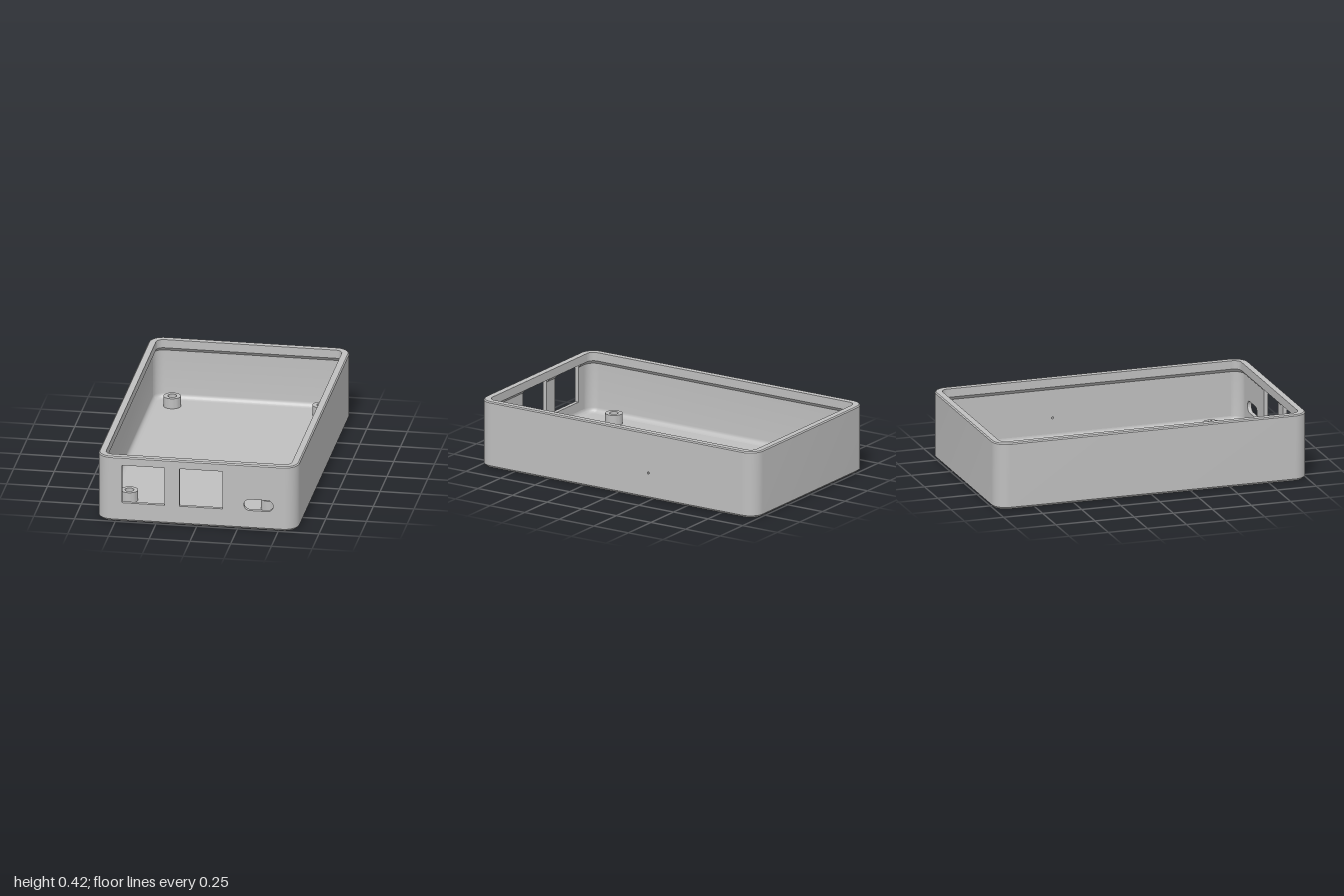
import * as THREE from 'three';
import { toCreasedNormals } from 'three/addons/utils/BufferGeometryUtils.js';

const HX = 0.615, HZ = 1, R = 0.09; // half sizes and corner radius
const CX = HX - R, CZ = HZ - R;
const WALL = 0.025, LIP = 0.045, FLOOR = 0.035, FILLET = 0.03;
const LIP_Y = 0.367, SLOPE_Y = 0.345, WALL_Y = FLOOR + FILLET;

// Wall profiles as [inset, height]: up the outside, over the rim, down the inside
const lower = [[0.015, 0], [0, 0.015], [0, WALL_Y]];
const rim = [[0, 0.413], [0.007, 0.42], [LIP, 0.42], [LIP, LIP_Y]];
const fillet = [];
for (let i = 0; i <= 5; i++) {
  const a = (i / 5) * Math.PI / 2;
  fillet.push([WALL + FILLET * (1 - Math.cos(a)), WALL_Y - FILLET * Math.sin(a)]);
}
const full = [[0.015, 0], [0, 0.015], ...rim, [WALL, SLOPE_Y], ...fillet];

// One rounded corner of the outline; quarter 0 is front left, going round to the back
function corner(quarter) {
  const cx = quarter < 2 ? CX : -CX;
  const cz = quarter === 0 || quarter === 3 ? CZ : -CZ;
  const pts = [];
  for (let i = 0; i <= 10; i++) {
    const a = (quarter + i / 10) * Math.PI / 2;
    pts.push({ cx, cz, nx: Math.sin(a), nz: Math.cos(a) });
  }
  return pts;
}

// Sweeps a profile along part of the outline
function sweep(profile, path) {
  const pos = [];
  const at = (p, [inset, y]) => [p.cx + p.nx * (R - inset), y, p.cz + p.nz * (R - inset)];
  for (let i = 0; i < path.length - 1; i++) {
    for (let j = 0; j < profile.length - 1; j++) {
      const a = at(path[i], profile[j]), b = at(path[i + 1], profile[j]);
      const c = at(path[i + 1], profile[j + 1]), d = at(path[i], profile[j + 1]);
      pos.push(...a, ...b, ...c, ...a, ...c, ...d);
    }
  }
  const g = new THREE.BufferGeometry();
  g.setAttribute('position', new THREE.Float32BufferAttribute(pos, 3));
  return toCreasedNormals(g, 0.6);
}

const frontRun = (x0, x1) => [x0, x1].map((cx) => ({ cx, cz: CZ, nx: 0, nz: 1 }));
const leftRun = [CZ, -CZ].map((cz) => ({ cx: CX, cz, nx: 1, nz: 0 }));

function circle(x, y, r) {
  return new THREE.Path().absarc(x, y, r, 0, Math.PI * 2, true);
}

function extrude(shape, depth) {
  const g = new THREE.ExtrudeGeometry(shape, { depth, bevelEnabled: false, curveSegments: 16 });
  return toCreasedNormals(g, 0.6);
}

// Horizontal plate with round holes given as [x, z]
function plate(y0, y1, holes, r) {
  const x = HX - 0.015, z = HZ - 0.015, c = R - 0.015;
  const s = new THREE.Shape();
  s.absarc(x - c, z - c, c, 0, Math.PI / 2);
  s.absarc(c - x, z - c, c, Math.PI / 2, Math.PI);
  s.absarc(c - x, c - z, c, Math.PI, Math.PI * 1.5);
  s.absarc(x - c, c - z, c, Math.PI * 1.5, Math.PI * 2);
  s.closePath();
  holes.forEach(([hx, hz]) => s.holes.push(circle(hx, -hz, r)));
  return extrude(s, y1 - y0).rotateX(-Math.PI / 2).translate(0, y0, 0);
}

export function createModel() {
  const group = new THREE.Group();
  const grey = new THREE.MeshStandardMaterial({ color: 0xbfbfbf });
  grey.name = 'plain grey';
  const add = (name, geometry) => {
    const m = new THREE.Mesh(geometry, grey);
    m.name = name;
    group.add(m);
    return m;
  };

  // Solid walls and corners
  add('frontLeftCorner', sweep(full, corner(0)));
  add('backAndRightWalls', sweep(full, [...corner(1), ...corner(2), ...corner(3)]));

  // Left wall with a pinhole
  add('leftWallBase', sweep(lower, leftRun));
  add('leftWallFillet', sweep(fillet, leftRun));
  add('leftWallRim', sweep([[0, SLOPE_Y], ...rim, [WALL, SLOPE_Y]], leftRun));
  const side = new THREE.Shape();
  side.moveTo(-CZ, WALL_Y);
  side.lineTo(CZ, WALL_Y);
  side.lineTo(CZ, SLOPE_Y);
  side.lineTo(-CZ, SLOPE_Y);
  side.closePath();
  side.holes.push(circle(0.23, 0.165, 0.007));
  add('leftWallPanel', extrude(side, WALL).rotateY(Math.PI / 2).translate(HX - WALL, 0, 0));

  // Front wall with two square ports and a rounded slot
  const front = frontRun(-CX, CX);
  add('frontWallBase', sweep(lower, front));
  add('frontWallFillet', sweep(fillet, front));
  add('frontWallRim', sweep([[0, LIP_Y], ...rim, [0, LIP_Y]], front));
  const ports = [[-0.46, -0.197], [-0.106, 0.158]], sill = 0.124;
  const face = new THREE.Shape();
  face.moveTo(-CX, WALL_Y);
  face.lineTo(CX, WALL_Y);
  face.lineTo(CX, LIP_Y);
  [...ports].reverse().forEach(([x0, x1]) => {
    face.lineTo(x1, LIP_Y);
    face.lineTo(x1, sill);
    face.lineTo(x0, sill);
    face.lineTo(x0, LIP_Y);
  });
  face.lineTo(-CX, LIP_Y);
  face.closePath();
  const slot = new THREE.Path();
  slot.absarc(0.325, 0.16, 0.036, Math.PI / 2, Math.PI * 1.5);
  slot.absarc(0.433, 0.16, 0.036, -Math.PI / 2, Math.PI / 2);
  slot.closePath();
  face.holes.push(slot);
  add('frontWallPanel', extrude(face, WALL).translate(0, 0, HZ - WALL));
  // Sloped underside of the lip beside the ports
  [[-CX, ports[0][0]], [ports[0][1], ports[1][0]], [ports[1][1], CX]].forEach(([x0, x1]) =>
    add('frontLipSlope', sweep([[LIP, LIP_Y], [WALL, SLOPE_Y]], frontRun(x0, x1))));

  // Floor with shallow round foot recesses underneath and screw holes
  const screws = [[-0.46, -0.85], [0.455, -0.85], [-0.46, 0.72], [0.4, 0.72]];
  const feet = [[-0.445, -0.795], [0.425, -0.795], [-0.45, 0.76], [0.41, 0.765]];
  add('floorUnderside', plate(0, 0.012, feet, 0.104));
  add('floor', plate(0.012, FLOOR, screws, 0.038));

  // Hollow screw posts, wider at the bottom for the screw heads
  const post = [[0.038, FLOOR], [0.038, 0.06], [0.027, 0.06], [0.027, 0.1], [0.053, 0.1], [0.053, FLOOR]]
    .reverse().map(([x, y]) => new THREE.Vector2(x, y));
  const postGeometry = toCreasedNormals(new THREE.LatheGeometry(post, 32), 0.6);
  screws.forEach(([x, z]) => add('screwPost', postGeometry).position.set(x, 0, z));

  return group;
}
